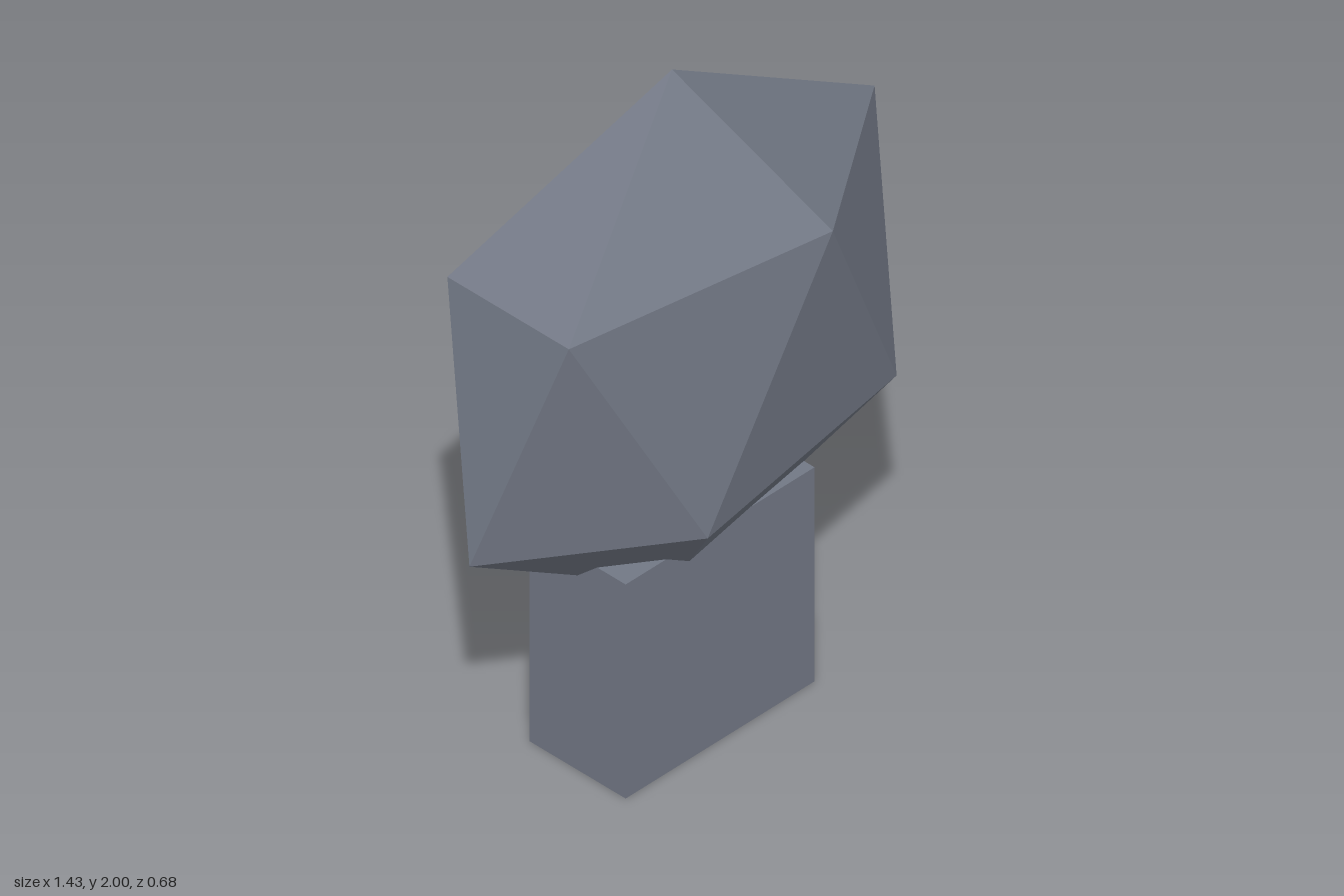
import * as THREE from 'three';

export function createModel() {
  const group = new THREE.Group();
  const material = new THREE.MeshStandardMaterial({ color: 0x727885, flatShading: true });

  // Faceted head: an icosahedron standing on a corner, flattened front to back
  const golden = (1 + Math.sqrt(5)) / 2;
  const headGeometry = new THREE.IcosahedronGeometry(0.8, 0);
  headGeometry.rotateZ(-Math.atan(1 / golden));
  headGeometry.scale(1, 1, 0.5);
  const head = new THREE.Mesh(headGeometry, material);
  head.name = 'head';
  head.position.y = 1.2;
  group.add(head);

  // Rectangular block that carries the head
  const height = 0.667;
  const base = new THREE.Mesh(new THREE.BoxGeometry(0.667, height, 0.333), material);
  base.name = 'base';
  base.position.y = height / 2;
  group.add(base);

  return group;
}
